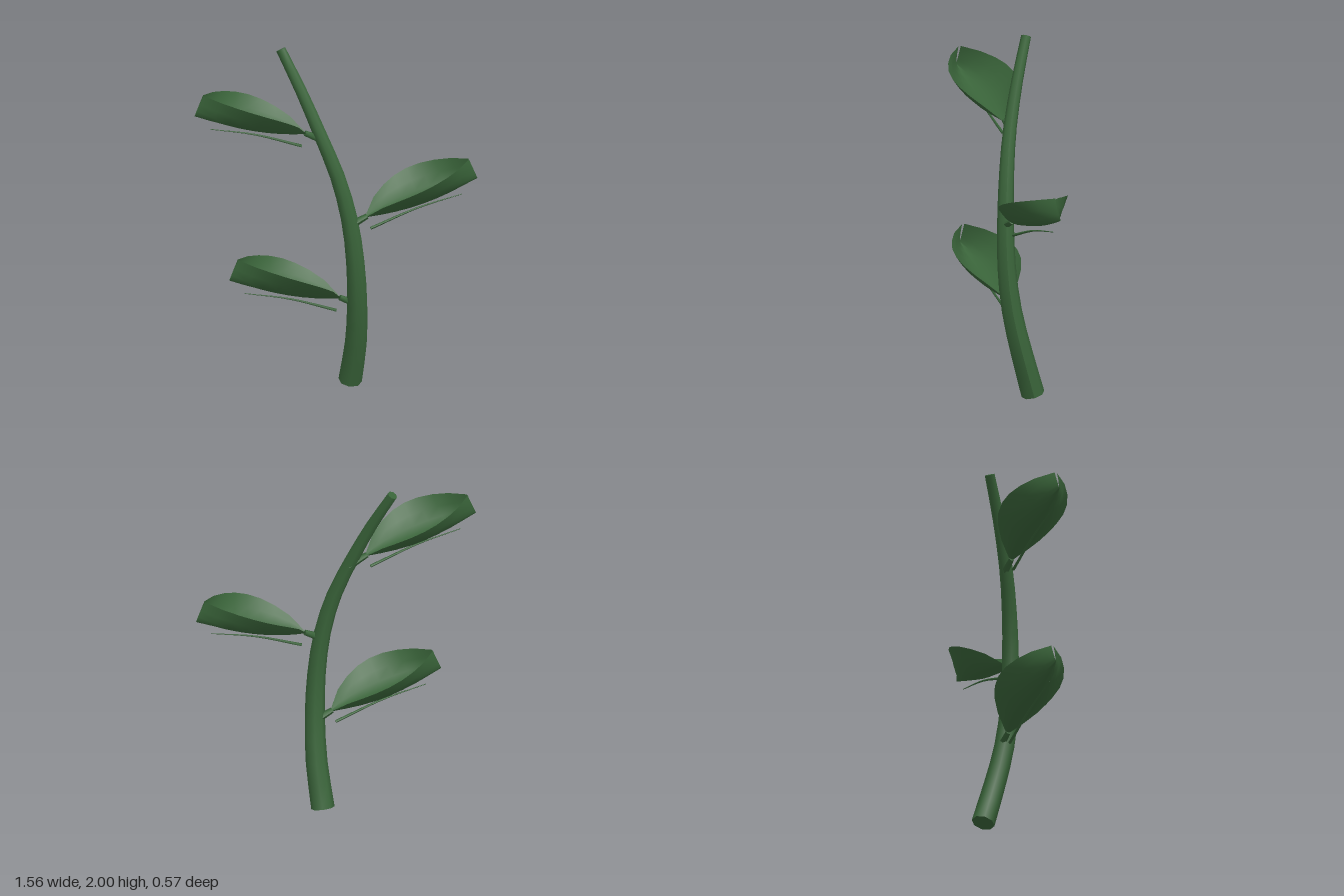
import * as THREE from 'three';

const green = new THREE.MeshStandardMaterial({ color: 0x396339, side: THREE.DoubleSide });
green.name = 'leafGreen';

// Round stalk through the points, tapering from r0 to r1, closed at both ends
function stalk(name, points, r0, r1, segments, sides) {
  const curve = new THREE.CatmullRomCurve3(points.map(p => new THREE.Vector3(...p)));
  const group = new THREE.Group();
  group.name = name;
  const geo = new THREE.TubeGeometry(curve, segments, 1, sides);
  const pos = geo.attributes.position, v = new THREE.Vector3();
  for (let i = 0; i < pos.count; i++) {
    const t = Math.floor(i / (sides + 1)) / segments;
    const c = curve.getPointAt(t);
    v.fromBufferAttribute(pos, i).sub(c).multiplyScalar(r0 + (r1 - r0) * t).add(c);
    pos.setXYZ(i, v.x, v.y, v.z);
  }
  geo.computeVertexNormals();
  group.add(new THREE.Mesh(geo, green));

  // End caps share the first and last ring of the tube
  for (const end of [0, 1]) {
    const c = curve.getPointAt(end), verts = [];
    const ring = k => v.fromBufferAttribute(pos, end * segments * (sides + 1) + k).toArray();
    for (let k = 0; k < sides; k++) {
      const a = ring(k), b = ring(k + 1);
      verts.push(...c.toArray(), ...(end ? [...a, ...b] : [...b, ...a]));
    }
    const cap = new THREE.BufferGeometry();
    cap.setAttribute('position', new THREE.Float32BufferAttribute(verts, 3));
    cap.computeVertexNormals();
    // Keep the cap facing away from the tube
    const out = curve.getTangentAt(end).multiplyScalar(end ? 1 : -1);
    if (v.fromBufferAttribute(cap.attributes.normal, 0).dot(out) < 0) {
      cap.setIndex([...Array(sides * 3).keys()].reverse());
      cap.computeVertexNormals();
    }
    group.add(new THREE.Mesh(cap, green));
  }
  return group;
}

// Cupped blade along +x: a trough whose sides close up at the tip
function bladeGeometry() {
  const geo = new THREE.PlaneGeometry(1, 2, 8, 8);
  const pos = geo.attributes.position;
  for (let i = 0; i < pos.count; i++) {
    const t = pos.getX(i) + 0.5, u = pos.getY(i);
    const width = 0.007 + 0.182 * Math.pow(Math.max(0, Math.sin(Math.PI * t)), 0.78);
    const lift = 0.15 * Math.sin(2.1 * Math.pow(t, 0.7)) * u * u;
    const slope = Math.atan((0.06 + 0.22 * t) / 0.65);
    pos.setXYZ(i,
      0.65 * t - lift * Math.sin(slope),
      0.06 * t + 0.11 * t * t + lift * Math.cos(slope),
      -u * width);
  }
  geo.computeVertexNormals();
  return geo;
}

export function createModel() {
  const model = new THREE.Group();
  model.name = 'leafyBranch';

  // Curved main stem
  model.add(stalk('stem', [
    [0.07, 0.015, -0.133], [0.107, 0.27, -0.065], [0.118, 0.5, -0.012],
    [0.112, 0.75, 0.018], [0.08, 1.02, 0.022], [0.015, 1.27, 0.01],
    [-0.08, 1.5, -0.017], [-0.2, 1.76, -0.072], [-0.32, 1.986, -0.135],
  ], 0.066, 0.028, 16, 8));

  // Alternating leaves, each with a short petiole and a fine rib beneath
  const blade = bladeGeometry();
  const leaves = [
    [0.03, 0.555, 0, Math.PI + 0.334],
    [0.165, 1.045, 0, 0.334],
    [-0.165, 1.535, 0, Math.PI + 0.334],
  ];
  for (const [x, y, z, turn] of leaves) {
    const leaf = new THREE.Group();
    leaf.name = 'leaf';
    leaf.position.set(x, y, z);
    leaf.rotation.y = turn;
    const mesh = new THREE.Mesh(blade, green);
    mesh.name = 'blade';
    leaf.add(mesh);
    leaf.add(stalk('petiole', [[-0.1, -0.05, 0], [-0.045, -0.022, 0], [0.01, 0.005, 0]], 0.024, 0.016, 3, 6));
    leaf.add(stalk('rib', [[0.03, -0.07, 0], [0.3, 0.025, 0], [0.56, 0.083, 0]], 0.009, 0.002, 8, 5));
    model.add(leaf);
  }
  return model;
}
